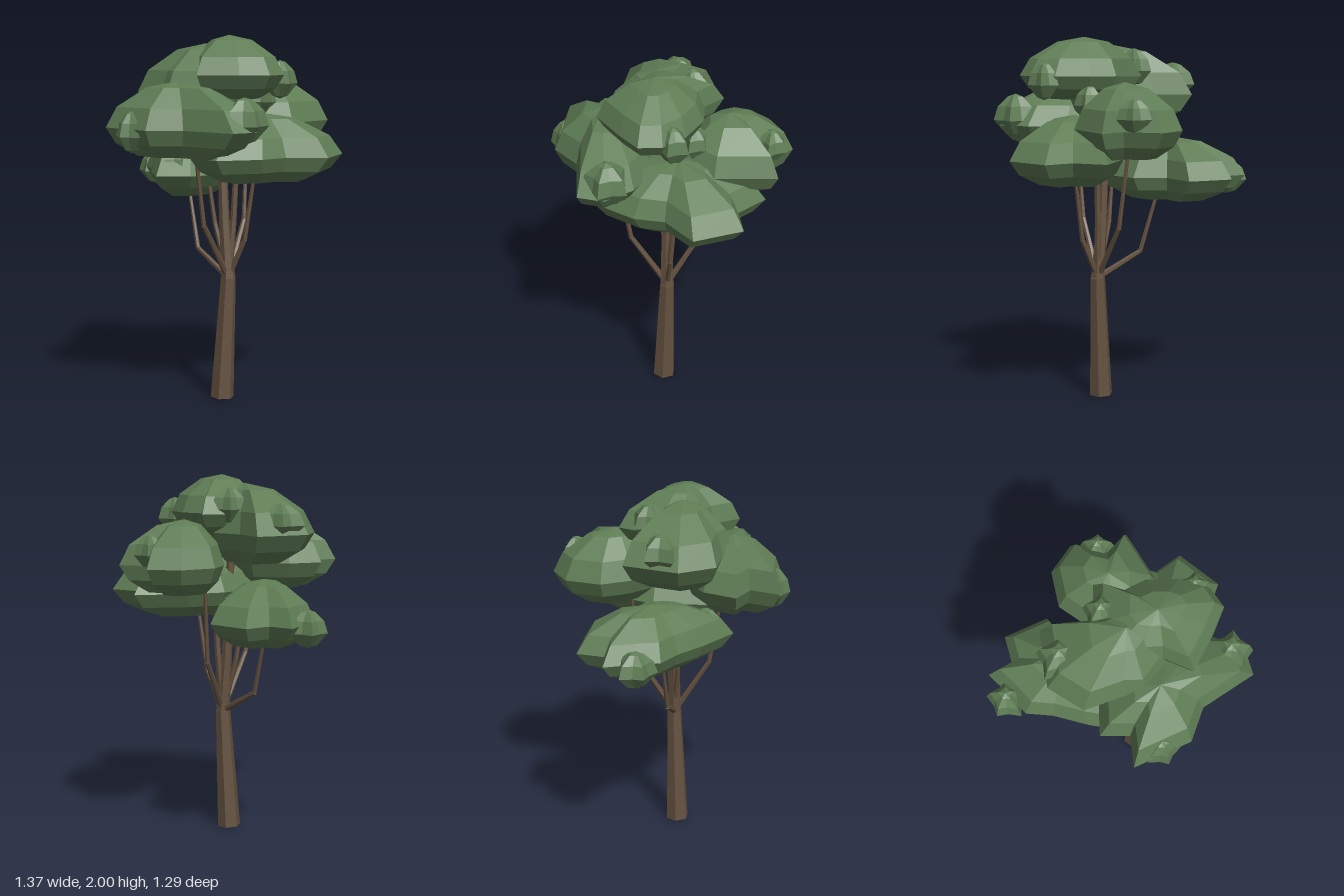
import * as THREE from 'three';

const leafMat = new THREE.MeshStandardMaterial({ color: 0x5f7d55, flatShading: true });
const barkMat = new THREE.MeshStandardMaterial({ color: 0x64513f, flatShading: true });

// Ring profiles: [share of the outline, share of the height]
const CLUMP = [[0.55, 0], [0.86, 0.17], [1, 0.38], [0.84, 0.66], [0.42, 0.92]];
const TUFT = [[0.45, 0.08], [1, 0.4], [0.8, 0.72], [0.35, 0.94]];

// Leaf clump: outline [x, z] runs from +x towards +z; rings shrink towards the centre
function clump(name, outline, [cx, cz], bottom, top, rings = CLUMP) {
  const n = outline.length, pos = [], idx = [];
  const add = (x, t, z) => pos.push(x, bottom + (top - bottom) * t, z);
  for (const [s, t] of rings)
    for (const [x, z] of outline) add(cx + (x - cx) * s, t, cz + (z - cz) * s);
  add(cx, 0, cz);
  add(cx, 1, cz);
  const low = rings.length * n, apex = low + 1, last = low - n;
  for (let i = 0; i < n; i++) {
    const j = (i + 1) % n;
    idx.push(low, i, j, apex, last + j, last + i);
    for (let r = 0; r < last; r += n)
      idx.push(r + i, r + n + i, r + j, r + j, r + n + i, r + n + j);
  }
  const geo = new THREE.BufferGeometry();
  geo.setAttribute('position', new THREE.Float32BufferAttribute(pos, 3));
  geo.setIndex(idx);
  geo.computeVertexNormals();
  const mesh = new THREE.Mesh(geo, leafMat);
  mesh.name = name;
  return mesh;
}

// Small star-shaped tuft with uneven points
function tuft(x, y, z, r, h, turn) {
  const outline = Array.from({ length: 10 }, (_, i) => {
    const a = turn + (i / 10) * Math.PI * 2;
    const k = r * (i % 2 ? 0.7 : 1 - 0.08 * Math.sin(i * 2 + turn));
    return [x + Math.cos(a) * k, z + Math.sin(a) * k];
  });
  return clump('leafTuft', outline, [x, z], y - h, y + h, TUFT);
}

// Tapered six-sided limb between two points
function limb(name, a, b, ra, rb) {
  const from = new THREE.Vector3(...a), to = new THREE.Vector3(...b);
  const dir = to.clone().sub(from);
  const geo = new THREE.CylinderGeometry(rb, ra, dir.length(), 6).rotateY(Math.PI / 6);
  const mesh = new THREE.Mesh(geo, barkMat);
  mesh.position.copy(from).add(to).multiplyScalar(0.5);
  mesh.quaternion.setFromUnitVectors(new THREE.Vector3(0, 1, 0), dir.normalize());
  mesh.name = name;
  return mesh;
}

export function createModel() {
  const tree = new THREE.Group();
  tree.name = 'tree';

  // Trunk
  const fork = [0.142, 0.68, 0];
  tree.add(limb('trunk', [0.117, 0.006, 0.022], fork, 0.065, 0.042));

  // Branches: elbow, tip, start radius
  const branches = [
    [[-0.11, 0.815, 0], [-0.22, 1.2, -0.02], 0.018],
    [[0.16, 0.99, 0.195], [0.17, 1.45, 0.27], 0.018],
    [[0.08, 0.98, -0.175], [0.04, 1.45, -0.23], 0.018],
    [[0.24, 0.9, -0.03], [0.3, 1.35, -0.06], 0.018],
    [[0.115, 1.0, 0.005], [0.08, 1.7, 0.01], 0.04],
    [[0.065, 0.98, 0.03], [0.03, 1.3, 0.06], 0.018],
    [[0.15, 1.0, -0.03], [0.17, 1.7, -0.06], 0.024],
  ];
  for (const [elbow, tip, r] of branches) {
    const branch = new THREE.Group();
    branch.name = 'branch';
    branch.add(limb('branchLower', fork, elbow, r, r * 0.75));
    branch.add(limb('branchUpper', elbow, tip, r * 0.75, r * 0.5));
    tree.add(branch);
  }

  // Large leaf clumps
  tree.add(
    clump('lowerRightClump', [[0.1, 0.05], [0.08, 0.22], [-0.05, 0.35], [-0.25, 0.22], [-0.4, 0.1],
      [-0.53, 0.03], [-0.57, -0.1], [-0.63, -0.25], [-0.49, -0.27], [-0.47, -0.42], [-0.22, -0.43],
      [-0.17, -0.24], [0, -0.18]], [-0.25, -0.07], 1.12, 1.46),
    clump('lowerLeftClump', [[0.69, -0.2], [0.54, -0.04], [0.53, 0.12], [0.42, 0.34], [0.2, 0.33],
      [0.05, 0.2], [0.02, -0.1], [0.1, -0.3], [0.27, -0.53], [0.41, -0.4], [0.57, -0.44]],
      [0.3, -0.08], 1.23, 1.59),
    clump('frontClump', [[0.6, 0.39], [0.29, 0.45], [0.16, 0.59], [-0.16, 0.6], [-0.11, 0.44],
      [-0.25, 0.38], [-0.18, 0.2], [0, 0.08], [0.3, 0.05], [0.5, 0.12], [0.62, 0.25]],
      [0.1, 0.33], 1.37, 1.76),
    clump('backClump', [[0.36, -0.27], [0.27, -0.1], [0.05, -0.08], [-0.08, -0.2], [-0.17, -0.35],
      [-0.13, -0.55], [0.02, -0.65], [0.18, -0.52], [0.32, -0.59]], [0.1, -0.32], 1.38, 1.77),
    clump('upperRightClump', [[0.28, 0.08], [0.2, 0.22], [0.02, 0.33], [-0.08, 0.29], [-0.29, 0.28],
      [-0.41, 0.1], [-0.37, -0.05], [-0.33, -0.2], [-0.14, -0.14], [0.05, -0.15], [0.2, -0.05]],
      [0.03, 0.06], 1.53, 1.955),
    clump('crownClump', [[0.53, -0.03], [0.55, 0.09], [0.44, 0.2], [0.27, 0.34], [0.16, 0.22],
      [0.05, 0.18], [-0.08, 0.1], [-0.1, -0.05], [0, -0.28], [0.1, -0.19], [0.25, -0.2],
      [0.42, -0.13]], [0.2, 0.05], 1.67, 2),
  );

  // Small tufts: x, y, z, radius, half height
  const tufts = [
    [-0.59, 1.23, -0.09, 0.11, 0.1], [-0.3, 1.76, 0, 0.125, 0.1], [-0.03, 1.84, -0.11, 0.1, 0.1],
    [0.13, 1.61, -0.54, 0.09, 0.09], [0.46, 1.77, -0.07, 0.09, 0.1], [0.53, 1.57, 0.25, 0.125, 0.12],
    [0.01, 1.5, 0.56, 0.09, 0.11], [-0.06, 1.29, 0.2, 0.1, 0.1], [0.24, 1.66, -0.16, 0.08, 0.09],
  ];
  tufts.forEach((t, i) => tree.add(tuft(...t, i * 1.3)));
  return tree;
}
